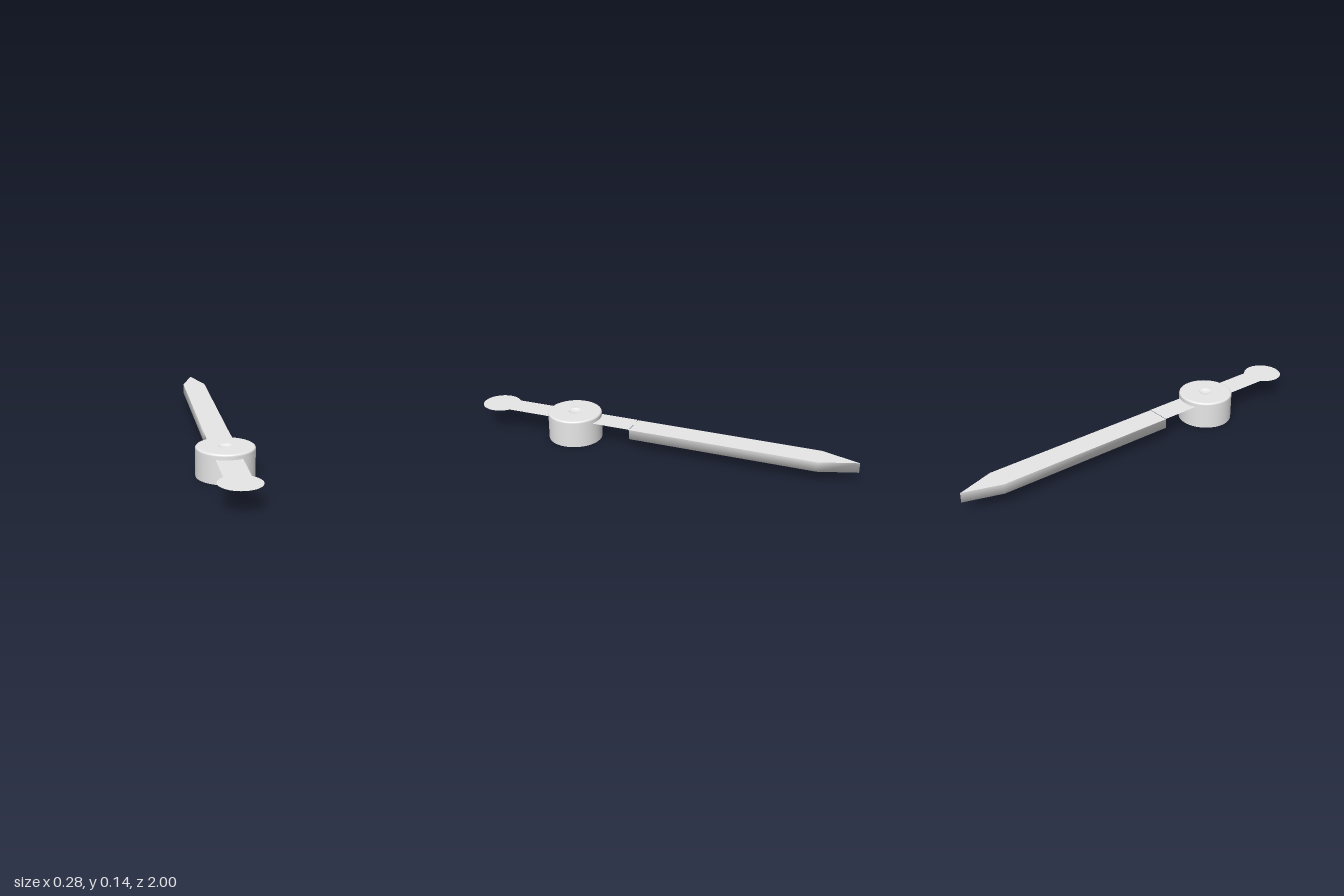
import * as THREE from 'three';

export function createModel() {
  const model = new THREE.Group();
  const metal = new THREE.MeshStandardMaterial({ color: 0xe7e7e7, side: THREE.DoubleSide });
  metal.name = 'silver metal';
  const add = (name, geometry) => {
    const mesh = new THREE.Mesh(geometry, metal);
    mesh.name = name;
    model.add(mesh);
    return mesh;
  };
  const halfWidth = 0.0615;

  // Hub: hollow cap, open below, with a rounded rim and a shallow central bowl
  const radius = 0.138, height = 0.142, bevel = 0.009;
  const profile = [[radius, 0], [radius, 0.06], [radius, height - bevel - 0.001]];
  for (let i = 0; i <= 6; i++) {
    const a = (i / 6) * Math.PI / 2;
    profile.push([radius - bevel + bevel * Math.cos(a), height - bevel + bevel * Math.sin(a)]);
  }
  profile.push([radius - bevel - 0.001, height], [0.034, height], [0.033, height - 0.0005],
    [0.026, height - 0.005], [0.015, height - 0.008], [0, height - 0.009]);
  const hub = add('hub', new THREE.LatheGeometry(profile.map(p => new THREE.Vector2(...p)), 64));
  hub.position.z = 0.473;

  // Tail: thin flat strip through the hub, ending in a round counterweight
  const discRadius = 0.0985, discZ = 0.9015;
  const a = Math.acos(halfWidth / discRadius);
  const strip = new THREE.Shape();
  strip.moveTo(halfWidth, -0.147);
  strip.lineTo(-halfWidth, -0.147);
  strip.absarc(0, -discZ, discRadius, Math.PI - a, 2 * Math.PI + a, false);
  strip.closePath();
  const tail = add('tailStrip', new THREE.ShapeGeometry(strip, 48).rotateX(-Math.PI / 2));
  tail.position.y = 0.1165;

  // Blade: pointed bar with a crisp flat top and soft sides and underside
  const top = 0.115, bottom = 0.0645;
  const outline = [[-halfWidth, -0.147], [halfWidth, -0.147], [halfWidth, 0.81], [0, 1], [-halfWidth, 0.81]]
    .map(p => new THREE.Vector2(...p));
  add('bladeTop', new THREE.ShapeGeometry(new THREE.Shape(outline)).rotateX(-Math.PI / 2).translate(0, top, 0));

  const n = outline.length, positions = [], normals = [], index = [];
  const edgeNormal = i => {
    const d = outline[(i + 1) % n].clone().sub(outline[i % n]).normalize();
    return new THREE.Vector3(d.y, 0, d.x);
  };
  for (const [y, tilt] of [[bottom, -1], [top, 0]]) {
    outline.forEach((p, i) => {
      positions.push(p.x, y, -p.y);
      // average of the two neighbouring sides, tilted down along the lower edge
      const normal = edgeNormal(i).add(edgeNormal(i + n - 1)).normalize();
      normals.push(...normal.setY(tilt).normalize().toArray());
    });
  }
  for (let i = 0; i < n; i++) {
    const j = (i + 1) % n;
    index.push(i, j, n + j, i, n + j, n + i);
    if (i > 0 && i < n - 1) index.push(0, i + 1, i);
  }
  const body = new THREE.BufferGeometry();
  body.setAttribute('position', new THREE.Float32BufferAttribute(positions, 3));
  body.setAttribute('normal', new THREE.Float32BufferAttribute(normals, 3));
  body.setIndex(index);
  add('bladeBody', body);

  return model;
}
